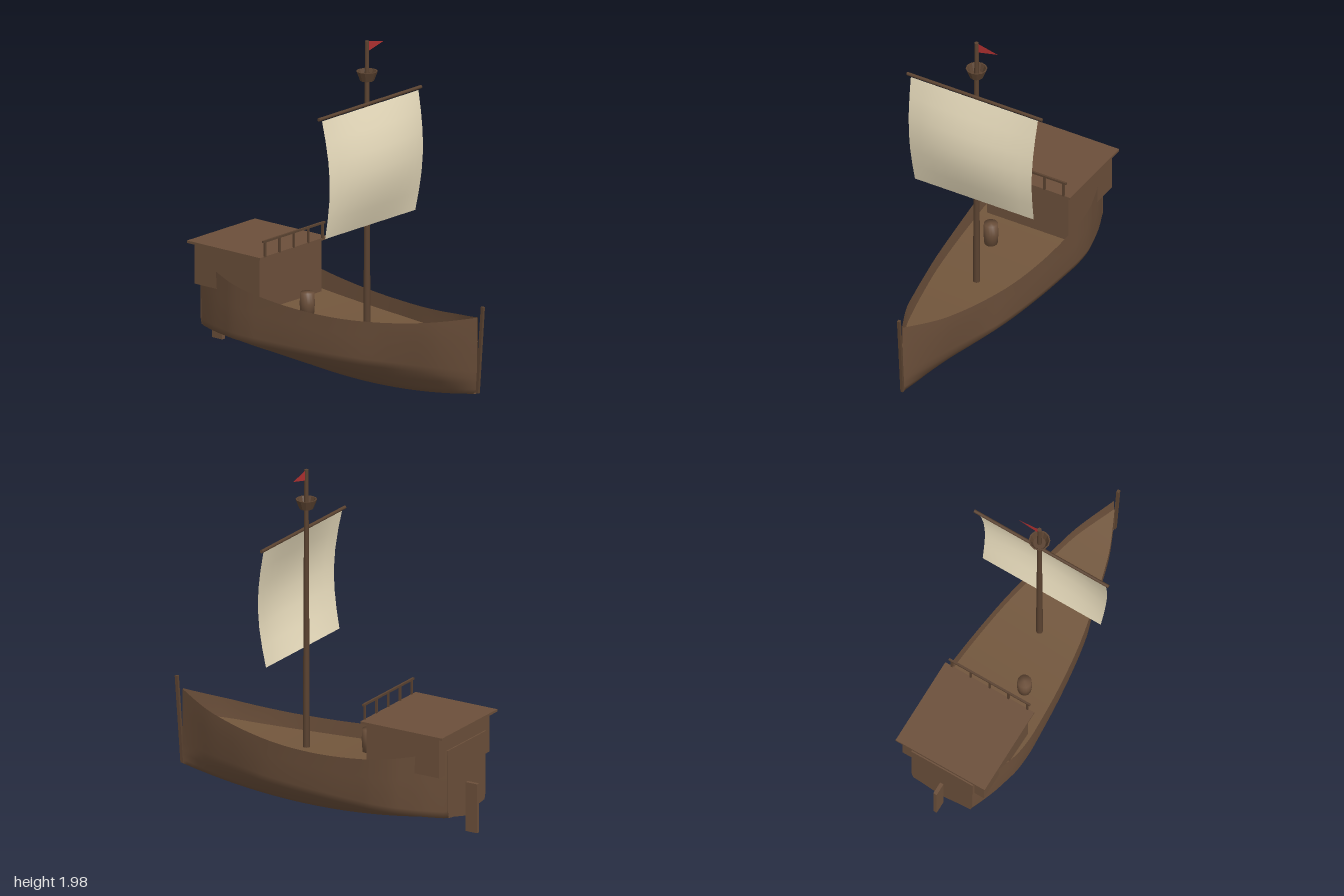
import * as THREE from 'three';

const mat = (name, color, side = THREE.FrontSide) => {
  const m = new THREE.MeshStandardMaterial({ color, side });
  m.name = name;
  return m;
};

// Hull lines: half breadth, sheer, keel and deck height along z
const breadth = new THREE.SplineCurve([
  [0.95, 0.004], [0.8, 0.075], [0.69, 0.12], [0.55, 0.16], [0.4, 0.198], [0.155, 0.25], [-0.13, 0.287],
  [-0.4, 0.307], [-0.5, 0.31], [-0.6, 0.303], [-0.68, 0.285], [-0.8, 0.25], [-0.92, 0.2],
].map(([z, b]) => new THREE.Vector2(z, b)));
const sheer = (z) => 0.425 + 0.145 * (z - 0.1) ** 2;
const keel = (z) => 0.002 + 0.122 * (z - 0.12) ** 2;
const deckY = (z) => 0.34 + 0.07 * (z - 0.1) ** 2;

// Half cross-section from rail down to keel
function halfSection(z, b) {
  const f = 1 - 0.35 * Math.max(0, (z - 0.3) / 0.65);
  const k = keel(z), chine = Math.max(0.19, k + 0.06), d = deckY(z);
  return [
    [b, sheer(z)],
    [b * (0.97 + 0.02 * f), d],
    [b * (0.97 * f + 0.01), chine + 0.02],
    [b * 0.93 * f, chine - 0.02],
    [b * 0.66 * f, k + 0.55 * (chine - k)],
    [b * 0.3 * f, k + 0.23 * (chine - k)],
    [0, k],
  ];
}
const fullSection = (z, b) => {
  const h = halfSection(z, b);
  return [...h, ...h.slice(0, -1).reverse().map(([x, y]) => [-x, y])];
};

// Skin a list of rows of [x, y, z] points
function loft(rows) {
  const n = rows[0].length, index = [];
  for (let i = 0; i < rows.length - 1; i++) {
    for (let j = 0; j < n - 1; j++) {
      const a = i * n + j, b = a + n;
      index.push(a, a + 1, b, a + 1, b + 1, b);
    }
  }
  const g = new THREE.BufferGeometry();
  g.setAttribute('position', new THREE.Float32BufferAttribute(rows.flat(2), 3));
  g.setIndex(index);
  g.computeVertexNormals();
  return g;
}

export function createModel() {
  const ship = new THREE.Group();
  ship.name = 'sailingShip';
  const hullWood = mat('hull wood', 0x6b4f3a, THREE.DoubleSide);
  const deckWood = mat('deck wood', 0x72563c, THREE.DoubleSide);
  const cabinWood = mat('cabin wood', 0x6b4f3a);
  const darkWood = mat('spar wood', 0x5a4230);
  const sailCloth = mat('sail cloth', 0xe6dabb, THREE.DoubleSide);
  const flagRed = mat('flag red', 0xb03030, THREE.DoubleSide);

  const add = (name, geometry, material, x = 0, y = 0, z = 0) => {
    const m = new THREE.Mesh(geometry, material);
    m.name = name;
    m.position.set(x, y, z);
    ship.add(m);
    return m;
  };
  const box = (name, w, h, d, material, x, y, z) => add(name, new THREE.BoxGeometry(w, h, d), material, x, y, z);

  // Hull shell and deck
  const stations = breadth.getPoints(48).map((p) => [p.x, p.y]);
  add('hull', loft(stations.map(([z, b]) => fullSection(z, b).map(([x, y]) => [x, y, z]))), hullWood);
  add('deck', loft(stations.map(([z, b]) => {
    const [x, y] = halfSection(z, b)[1];
    return [[-x * 0.99, y, z], [x * 0.99, y, z]];
  })), deckWood);

  // Transom closing the stern
  const stern = new THREE.Shape(fullSection(-0.92, 0.2).map(([x, y]) => new THREE.Vector2(x, y)));
  add('transom', new THREE.ExtrudeGeometry(stern, { depth: 0.008, bevelEnabled: false }), cabinWood, 0, 0, -0.926);

  // Raked stem post and rudder
  const stem = box('stemPost', 0.016, 0.51, 0.018, darkWood, 0, 0.345, 0.971);
  stem.rotation.x = Math.atan2(0.038, 0.51);
  box('rudder', 0.022, 0.29, 0.074, cabinWood, 0, 0.19, -0.963);

  // Stern cabin with overhanging roof
  box('cabin', 0.53, 0.24, 0.48, cabinWood, 0, 0.55, -0.67);
  box('cabinBase', 0.53, 0.1, 0.2, cabinWood, 0, 0.385, -0.531);
  box('cabinRoof', 0.58, 0.014, 0.54, cabinWood, 0, 0.673, -0.675);

  // Roof railing
  for (let i = -2; i <= 2; i++) {
    box('railPost', 0.011, 0.09, 0.011, darkWood, i * 0.123, 0.722, -0.407);
  }
  box('railTop', 0.53, 0.012, 0.012, darkWood, 0, 0.768, -0.407);

  // Barrel on the deck
  const barrel = [[0, 0], [0.038, 0], [0.043, 0.07], [0.04, 0.135], [0, 0.135]];
  add('barrel', new THREE.LatheGeometry(barrel.map(([r, y]) => new THREE.Vector2(r, y)), 16),
    hullWood, -0.11, 0.345, -0.212);

  // Mast, yard and lookout basket
  const mastZ = 0.134;
  add('mast', new THREE.CylinderGeometry(0.012, 0.02, 1.665, 12), darkWood, 0, 1.1525, mastZ);
  const yard = add('yard', new THREE.CylinderGeometry(0.01, 0.01, 0.875, 10), darkWood, 0, 1.625, 0.155);
  yard.rotation.z = Math.PI / 2;
  const basket = [[0, 0], [0.04, 0], [0.061, 0.055], [0.053, 0.055], [0.036, 0.012], [0, 0.012]];
  const nest = new THREE.LatheGeometry(basket.map(([r, y]) => new THREE.Vector2(r, y)), 12).toNonIndexed();
  nest.computeVertexNormals();
  add('lookoutBasket', nest, darkWood, 0, 1.755, mastZ);

  // Billowing square sail, slightly narrower at the foot
  const sail = new THREE.PlaneGeometry(2, 1, 10, 6);
  const p = sail.attributes.position;
  for (let i = 0; i < p.count; i++) {
    const u = p.getX(i), v = 0.5 - p.getY(i);
    const belly = Math.sin(Math.PI * v) * (0.045 + 0.042 * (1 - u * u));
    p.setXYZ(i, u * (0.412 - 0.027 * v), 1.612 - 0.692 * v, 0.158 + belly);
  }
  sail.computeVertexNormals();
  add('sail', sail, sailCloth);

  // Pennant
  const pennant = new THREE.Shape([[0.008, 1.982], [0.008, 1.922], [0.138, 1.952]].map(([x, y]) => new THREE.Vector2(x, y)));
  add('pennant', new THREE.ShapeGeometry(pennant), flagRed, 0, 0, mastZ);

  return ship;
}
